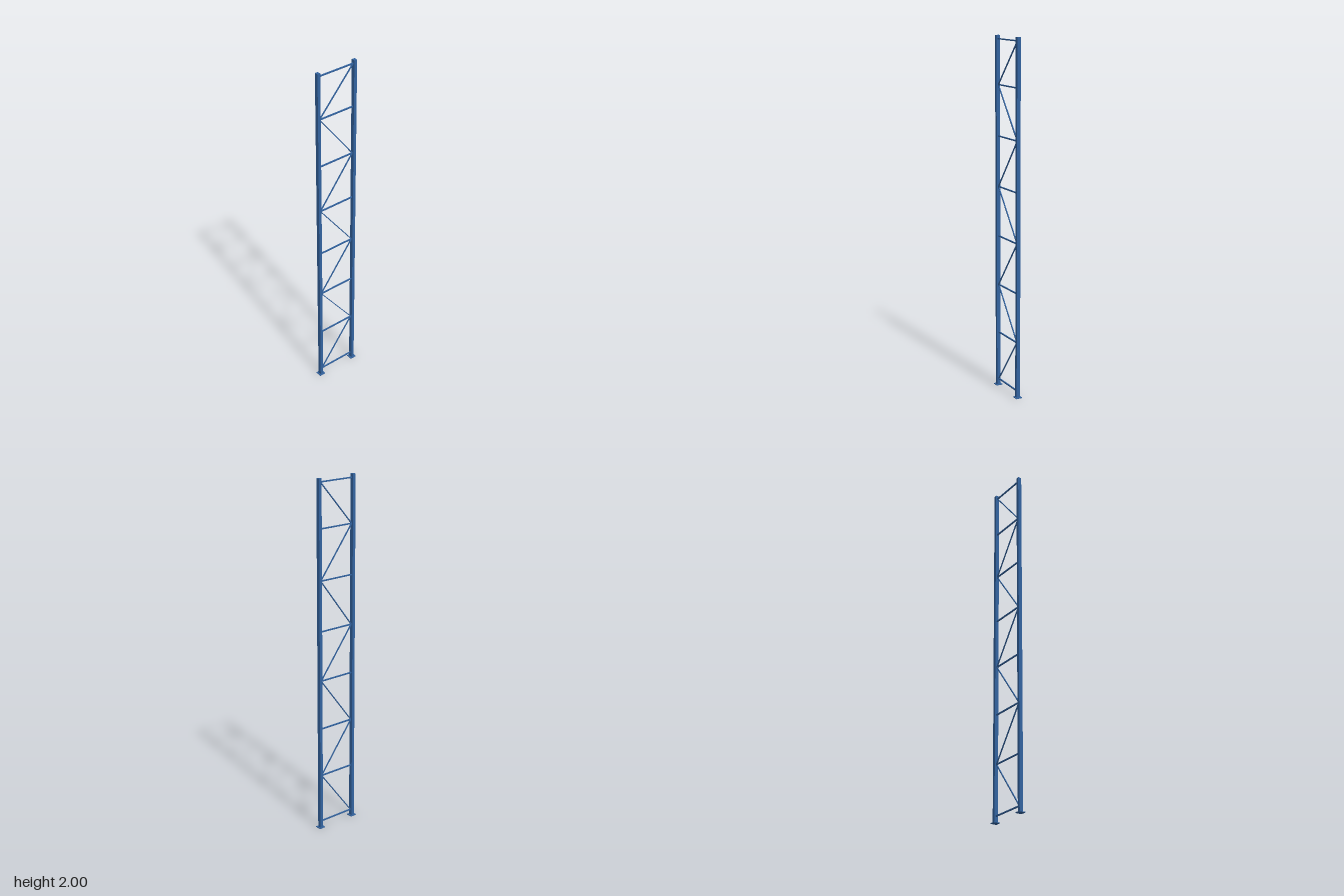
import * as THREE from 'three';

export function createModel() {
  const model = new THREE.Group();
  model.name = 'uprightFrame';
  const blue = new THREE.MeshStandardMaterial({ color: 0x33639f });

  const box = (name, w, h, d, y, z) => {
    const mesh = new THREE.Mesh(new THREE.BoxGeometry(w, h, d), blue);
    mesh.name = name;
    mesh.position.set(0, y, z);
    model.add(mesh);
    return mesh;
  };

  // Two posts, each on a square foot plate
  const postZ = 0.119, postDepth = 0.018, plate = 0.004;
  for (const [side, s] of [['front', 1], ['back', -1]]) {
    box(side + 'Post', 0.021, 2 - plate, postDepth, 1 + plate / 2, s * postZ);
    box(side + 'FootPlate', 0.037, plate, 0.037, plate / 2, s * postZ);
  }

  // Rungs at an even pitch, with a shorter top bay
  const first = 0.038, pitch = 0.2825;
  const levels = Array.from({ length: 7 }, (_, i) => first + i * pitch);
  levels.push(1.98);
  const inner = postZ - postDepth / 2;
  levels.forEach((y, i) => box('rung' + (i + 1), 0.007, 0.007, inner * 2, y, 0));

  // Zigzag braces between the rungs
  for (let i = 0; i < levels.length - 1; i++) {
    const rise = levels[i + 1] - levels[i];
    const run = (i % 2 ? 2 : -2) * inner;
    const brace = box('brace' + (i + 1), 0.006, Math.hypot(rise, run), 0.005, levels[i] + rise / 2, 0);
    brace.rotation.x = Math.atan2(run, rise);
  }
  return model;
}
